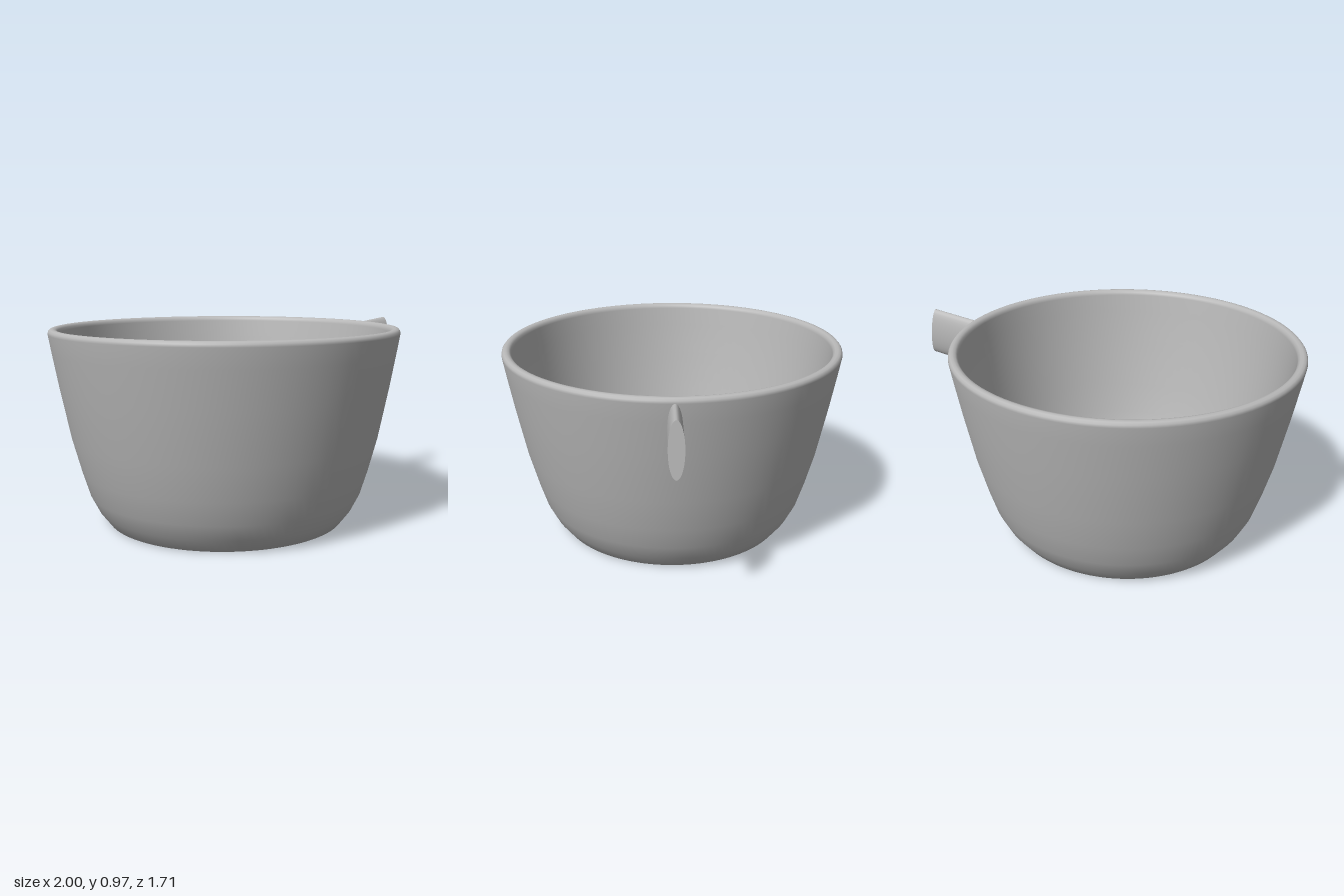
import * as THREE from 'three';

export function createModel() {
  const model = new THREE.Group();
  const gray = new THREE.MeshStandardMaterial({ color: 0xb8b8b8 });
  gray.name = 'light gray';

  // Outer skin from the base centre up, over the rounded rim, then down the inside
  const profile = [
    [0, 0], [0.54, 0], [0.595, 0.004], [0.645, 0.07], [0.685, 0.15], [0.72, 0.265],
    [0.763, 0.43], [0.812, 0.68], [0.842, 0.85], [0.857, 0.94], [0.855, 0.953],
    [0.847, 0.962], [0.834, 0.965], [0.821, 0.962], [0.812, 0.953], [0.808, 0.94],
    [0.795, 0.85], [0.766, 0.68], [0.717, 0.43], [0.675, 0.265], [0.642, 0.15],
    [0.608, 0.085], [0.57, 0.055], [0.5, 0.048], [0, 0.048],
  ].map(([r, y]) => new THREE.Vector2(r, y));
  const bowl = new THREE.Mesh(new THREE.LatheGeometry(profile, 96), gray);
  bowl.name = 'bowl';
  bowl.position.x = -0.143;
  model.add(bowl);

  // Thin upright elliptical handle, tilted slightly upward
  const handleShape = new THREE.CylinderGeometry(0.123, 0.123, 0.276, 32);
  handleShape.rotateZ(-Math.PI / 2);
  handleShape.scale(1, 1, 0.28);
  const handle = new THREE.Mesh(handleShape, gray);
  handle.name = 'handle';
  handle.position.set(0.849, 0.833, 0);
  handle.rotation.z = 0.113;
  model.add(handle);

  return model;
}
